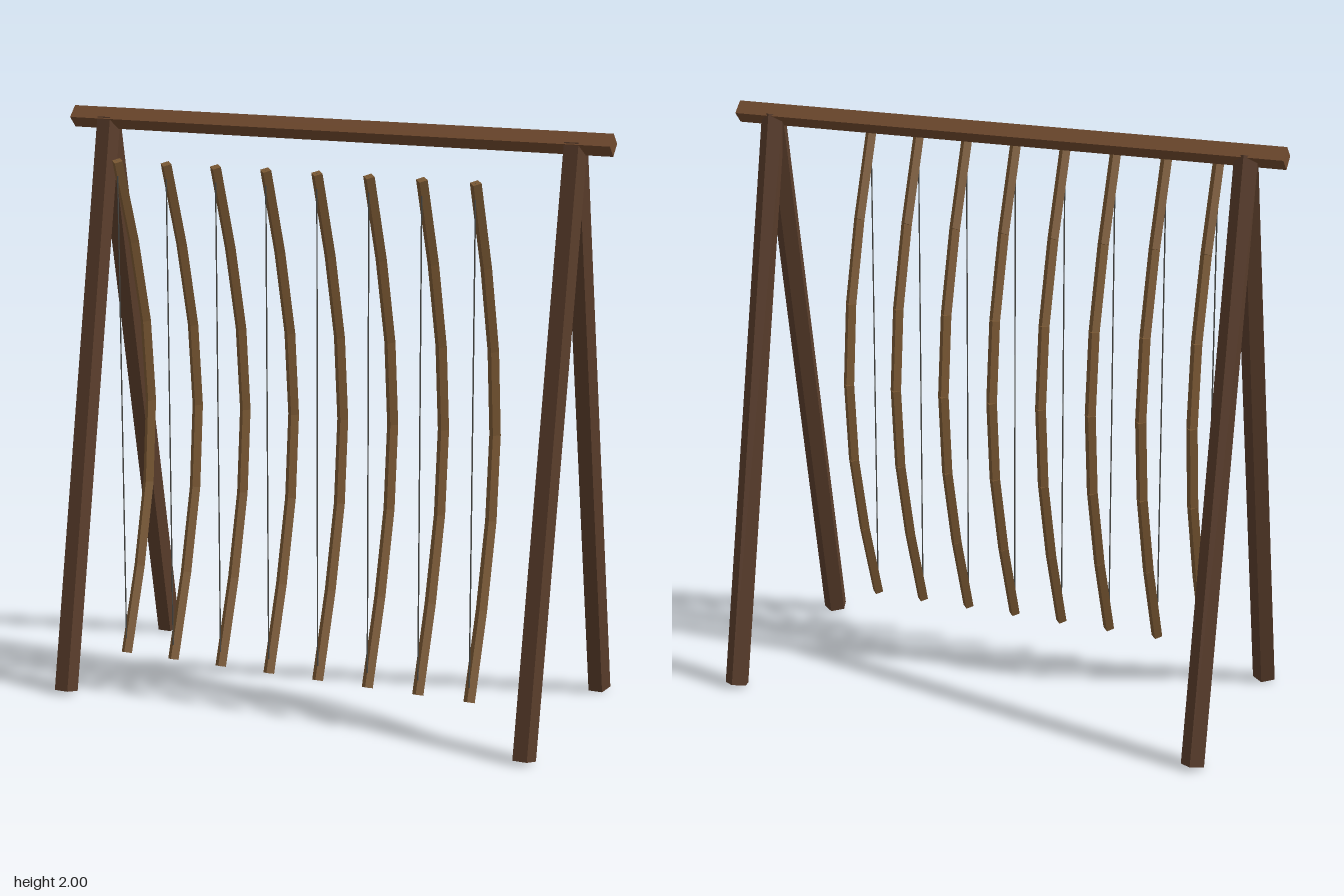
import * as THREE from 'three';

const material = (color) => new THREE.MeshStandardMaterial({ color, flatShading: true });
const UP = new THREE.Vector3(0, 1, 0);

// Straight pole with the given number of sides, running from point a to point b
function pole(name, a, b, radius, sides, mat) {
  const from = new THREE.Vector3(...a);
  const to = new THREE.Vector3(...b);
  const dir = to.clone().sub(from);
  const mesh = new THREE.Mesh(new THREE.CylinderGeometry(radius, radius, dir.length(), sides), mat);
  mesh.quaternion.setFromUnitVectors(UP, dir.normalize());
  mesh.position.copy(from).add(to).multiplyScalar(0.5);
  mesh.name = name;
  return mesh;
}

export function createModel() {
  const model = new THREE.Group();
  model.name = 'bowRack';
  const legWood = material(0x5a3d2b);
  const beamWood = material(0x704a2e);
  const bowWood = material(0x7a5833);
  const cord = material(0x4a4a46);

  // Square top beam, set on its edge
  model.add(pole('topBeam', [-0.975, 1.963, 0], [0.975, 1.963, 0], 0.037, 4, beamWood));

  // A-frame legs at both ends, five-sided
  for (const x of [-0.845, 0.845]) {
    const frame = new THREE.Group();
    frame.name = x < 0 ? 'rightFrame' : 'leftFrame';
    for (const s of [1, -1]) {
      const name = s > 0 ? 'frontLeg' : 'backLeg';
      frame.add(pole(name, [x, 1.963, 0], [x, 0.008, s * 0.39], 0.042, 5, legWood));
    }
    model.add(frame);
  }

  // Row of bows, each a curved stave of short lengths with a taut string
  const segments = 6;
  const stavePoint = (i) => {
    const t = i / segments;
    return [0, 1.86 - 1.72 * t, 0.29 - 0.21 * Math.sin(Math.PI * t)];
  };
  for (let n = 0; n < 8; n++) {
    const bow = new THREE.Group();
    bow.name = `bow${n + 1}`;
    for (let i = 0; i < segments; i++) {
      bow.add(pole('stave', stavePoint(i), stavePoint(i + 1), 0.02, 4, bowWood));
    }
    bow.add(pole('string', stavePoint(0), stavePoint(segments), 0.0025, 4, cord));
    bow.position.x = -0.655 + n * 0.182;
    model.add(bow);
  }
  return model;
}
